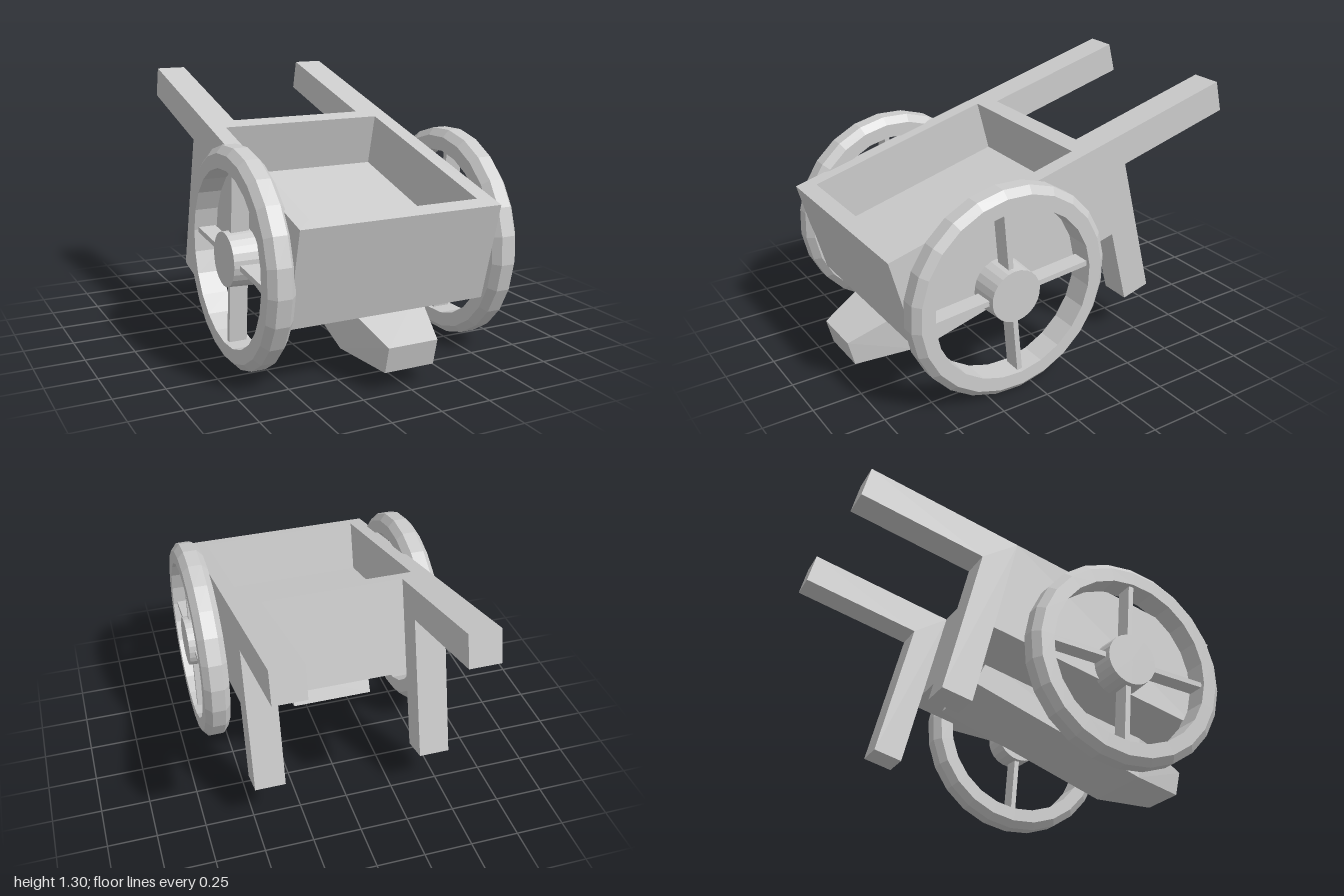
import * as THREE from 'three';
import { ConvexGeometry } from 'three/addons/geometries/ConvexGeometry.js';

const material = new THREE.MeshStandardMaterial({ color: 0xcccccc, flatShading: true });

function part(name, geometry, parent) {
  const mesh = new THREE.Mesh(geometry, material);
  mesh.name = name;
  parent.add(mesh);
  return mesh;
}

const polygon = (points) => new THREE.Shape(points.map(([x, y]) => new THREE.Vector2(x, y)));
const rectangle = (x0, x1, y0, y1) => [[x0, y0], [x1, y0], [x1, y1], [x0, y1]];

// Tilted tray with handles and rear legs; local -z runs back along the handles
function createBody() {
  const body = new THREE.Group();
  body.name = 'body';
  body.position.set(-0.015, 0.802, 0.94);
  body.rotation.x = 0.257;
  const half = 0.515, wall = 0.082, height = 0.505, length = 1.168;

  // Four walls as one hollow frame
  const outline = polygon(rectangle(-half, half, 0, length));
  outline.holes.push(polygon(rectangle(-half + wall, half - wall, wall, length - wall)));
  const walls = new THREE.ExtrudeGeometry(outline, { depth: height, bevelEnabled: false });
  walls.rotateX(-Math.PI / 2).translate(0, -height, 0);
  part('trayWalls', walls, body);

  // Thick floor
  const floorTop = -0.275;
  const floor = new THREE.BoxGeometry(2 * (half - wall), floorTop + height, length - 2 * wall);
  part('trayFloor', floor, body).position.set(0, (floorTop - height) / 2, -length / 2);

  // Handle and leg on each side
  const width = 0.157;
  const side = polygon([[length, -0.918], [1.322, -0.918], [1.322, -0.163], [1.968, -0.163], [1.968, 0], [length, 0]]);
  for (const [name, x] of [['rightHandleAndLeg', -half], ['leftHandleAndLeg', half - width]]) {
    const geometry = new THREE.ExtrudeGeometry(side, { depth: width, bevelEnabled: false });
    geometry.rotateY(Math.PI / 2);
    part(name, geometry, body).position.x = x;
  }
  return body;
}

// Beam under the tray with a tapered nose: [half width, bottom y, bottom z, top y, top z]
function createBeam() {
  const sections = [
    [0.127, 0.095, 0.968, 0.224, 1.0],
    [0.205, 0.125, 0.68, 0.36, 0.7],
    [0.205, 0.47, -0.257, 0.61, -0.19],
  ];
  const points = [];
  for (const [w, y0, z0, y1, z1] of sections) {
    for (const x of [-w, w]) points.push(new THREE.Vector3(x, y0, z0), new THREE.Vector3(x, y1, z1));
  }
  return new ConvexGeometry(points);
}

// Wheel with its axle along x
function createWheel(name, direction) {
  const wheel = new THREE.Group();
  wheel.name = name;
  wheel.position.set(direction * 0.5825, 0.537, 0.368);
  wheel.rotation.x = 0.09;

  // Bevelled rim
  const profile = [
    [0.43, -0.067], [0.5, -0.067], [0.536, -0.035], [0.536, 0.035],
    [0.5, 0.067], [0.43, 0.067], [0.43, -0.067],
  ].map(([r, y]) => new THREE.Vector2(r, y));
  part('rim', new THREE.LatheGeometry(profile, 24).rotateZ(-Math.PI / 2), wheel);

  // Hub, slightly narrower on the outside
  const hub = new THREE.CylinderGeometry(0.132, 0.139, 0.146, 24);
  part('hub', hub.rotateZ(-direction * Math.PI / 2), wheel);

  // Four thin spokes
  for (let i = 0; i < 4; i++) {
    const spoke = new THREE.BoxGeometry(0.09, 0.33, 0.027);
    spoke.translate(0, 0.275, 0).rotateX(i * Math.PI / 2);
    part('spoke', spoke, wheel);
  }
  return wheel;
}

export function createModel() {
  const cart = new THREE.Group();
  cart.name = 'handCart';
  cart.add(createBody());
  part('underBeam', createBeam(), cart).position.x = 0.004;
  cart.add(createWheel('leftWheel', 1), createWheel('rightWheel', -1));
  return cart;
}
